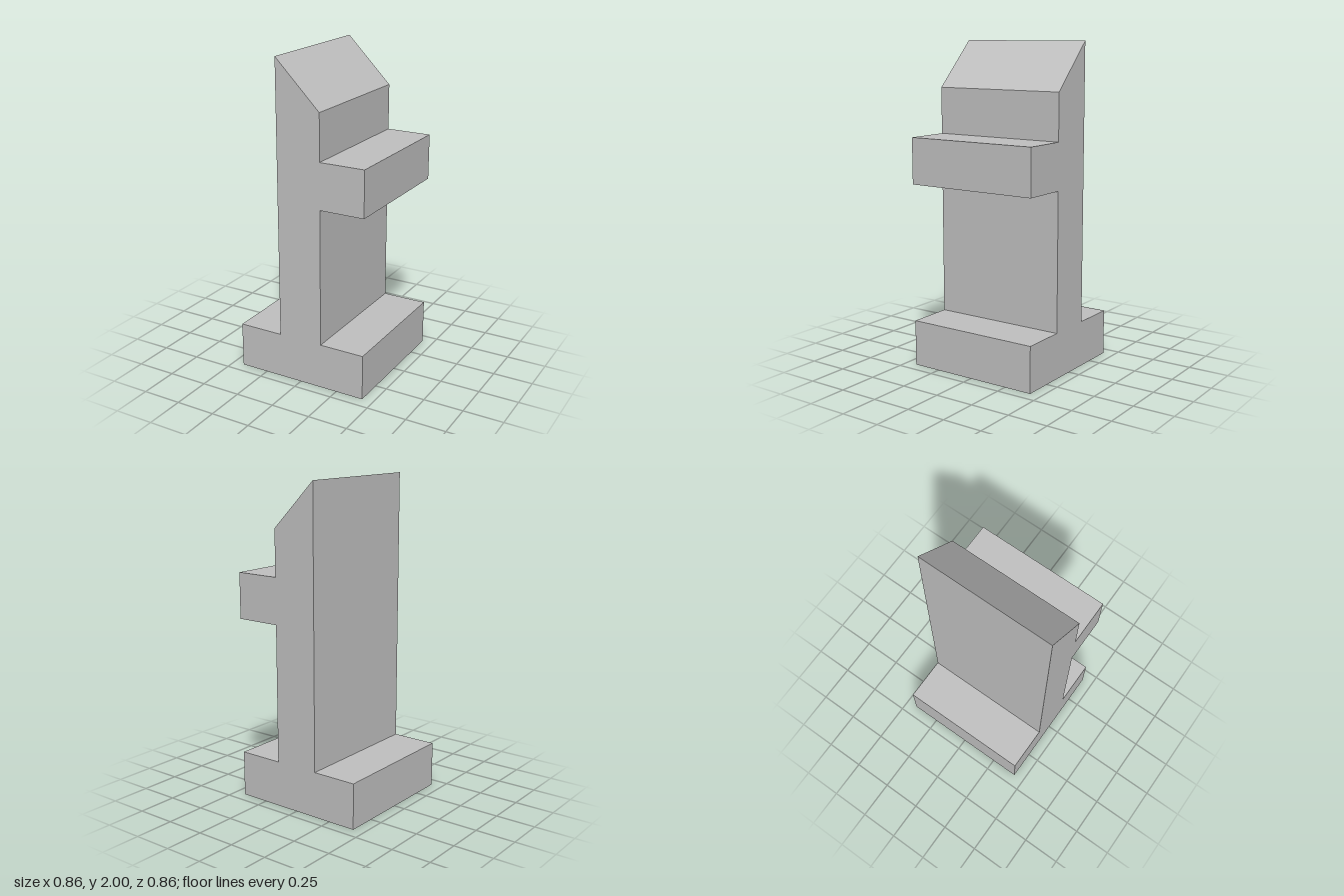
import * as THREE from 'three';

export function createModel() {
  const model = new THREE.Group();
  const grey = new THREE.MeshStandardMaterial({ color: 0xc0c0c0 });
  grey.name = 'lightGrey';

  // Dimensions are multiples of one module: the block is 7 modules tall, 3 wide, 3 deep
  const unit = 2 / 7;
  const depth = 3 * unit;

  // Cross-section: wide foot, upright web with a slanted top, and a ledge on +x
  const outline = [
    [-1.5, 0], [1.5, 0], [1.5, 1], [0.5, 1],
    [0.5, 4], [1.5, 4], [1.5, 5], [0.5, 5],
    [0.5, 6], [-0.5, 7], [-0.5, 1], [-1.5, 1],
  ];
  const shape = new THREE.Shape(outline.map(([x, y]) => new THREE.Vector2(x * unit, y * unit)));

  // Straight extrusion centred on z
  const geometry = new THREE.ExtrudeGeometry(shape, { depth, bevelEnabled: false });
  geometry.translate(0, 0, -depth / 2);

  const bracket = new THREE.Mesh(geometry, grey);
  bracket.name = 'bracketProfile';
  model.add(bracket);
  return model;
}
